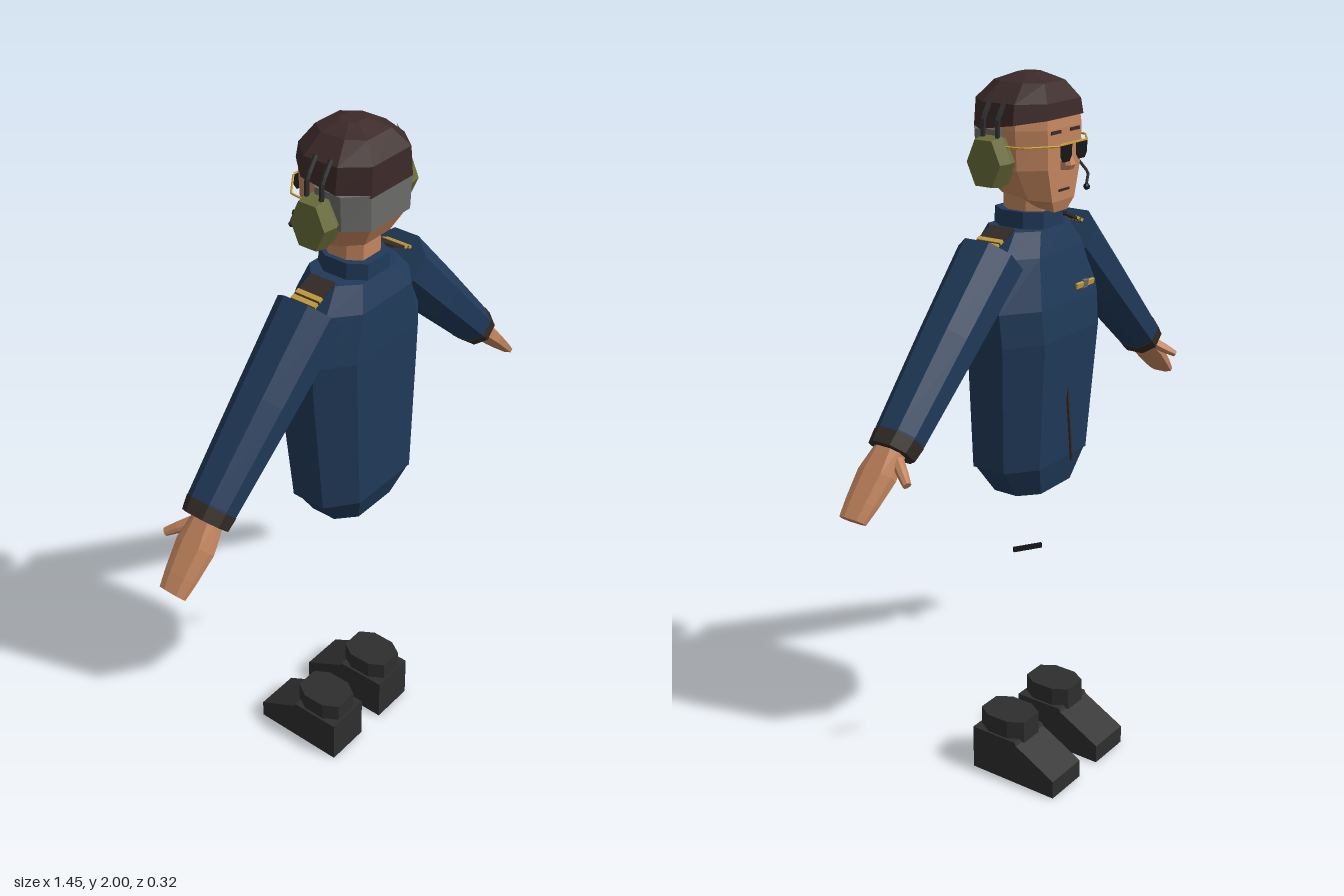
import * as THREE from 'three';

const mat = (name, color) => {
  const m = new THREE.MeshStandardMaterial({ color });
  m.name = name;
  return m;
};

// Closed eight-sided loft. Ring: [y, halfWidth, zFront, zBack, yBack = y], lowest ring first.
function loft(rings, a = 0.58, b = 0.45) {
  const unit = [[1, b], [1, -b], [a, -1], [-a, -1], [-1, -b], [-1, b], [-a, 1], [a, 1]];
  const pos = [], idx = [];
  for (const [y, hx, zf, zb, yb = y] of rings) {
    const c = (zf + zb) / 2, h = (zb - zf) / 2;
    for (const [ux, uz] of unit) pos.push(ux * hx, y + (yb - y) * (uz + 1) / 2, c + uz * h);
  }
  for (let r = 0; r < rings.length - 1; r++) {
    for (let i = 0; i < 8; i++) {
      const p = r * 8 + i, q = r * 8 + (i + 1) % 8;
      idx.push(p, q, q + 8, p, q + 8, p + 8);
    }
  }
  const top = (rings.length - 1) * 8;
  for (let i = 1; i < 7; i++) idx.push(0, i + 1, i, top, top + i, top + i + 1);
  const g = new THREE.BufferGeometry();
  g.setAttribute('position', new THREE.Float32BufferAttribute(pos, 3));
  g.setIndex(idx);
  return flat(g);
}

function flat(g) {
  const f = g.index ? g.toNonIndexed() : g;
  f.computeVertexNormals();
  return f;
}

// Straight-segmented wire through points
function wire(points, r) {
  const path = new THREE.CurvePath();
  const v = points.map(p => new THREE.Vector3(...p));
  for (let i = 1; i < v.length; i++) path.add(new THREE.LineCurve3(v[i - 1], v[i]));
  return flat(new THREE.TubeGeometry(path, (v.length - 1) * 4, r, 5));
}

export function createModel() {
  const model = new THREE.Group();
  const navy = mat('navy cloth', 0x203a59);
  const skin = mat('skin', 0xc4865f);
  const hair = mat('brown hair', 0x3c2a29);
  const gray = mat('gray hair', 0x6c6c6a);
  const olive = mat('olive plastic', 0x686b39);
  const dark = mat('black leather', 0x2e2e2e);
  const black = mat('black glass', 0x16161a);
  const gold = mat('gold', 0xc99f3c);
  const trim = mat('dark trim', 0x332b27);

  const add = (name, geo, material, parent = model, p = [0, 0, 0]) => {
    const m = new THREE.Mesh(geo, material);
    m.name = name;
    m.position.set(...p);
    parent.add(m);
    return m;
  };
  const box = (w, h, d) => new THREE.BoxGeometry(w, h, d);

  // Torso, hips and collar
  add('jacket', loft([
    [0.97, 0.19, -0.065, 0.16], [1.33, 0.215, -0.092, 0.16], [1.42, 0.22, -0.085, 0.16],
    [1.55, 0.17, -0.058, 0.155], [1.612, 0.118, -0.04, 0.13],
  ]), navy);
  add('hips', loft([[0.88, 0.12, -0.04, 0.125], [0.97, 0.182, -0.062, 0.158]]), navy);
  add('collar', loft([[1.6, 0.078, -0.032, 0.128], [1.655, 0.073, -0.03, 0.126]]), navy);

  // Jacket front: zip and winged badge on the chest
  const zip = add('zip', box(0.006, 0.36, 0.006), trim, model, [0, 1.15, -0.08]);
  zip.rotation.x = 0.075;
  const badge = new THREE.Group();
  badge.name = 'chestBadge';
  badge.position.set(-0.075, 1.45, -0.081);
  badge.rotation.x = -0.2;
  model.add(badge);
  add('badgeWings', box(0.08, 0.014, 0.008), gold, badge);
  add('badgeCentre', box(0.02, 0.022, 0.009), gray, badge);

  // Neck and head
  add('neck', loft([[1.63, 0.06, -0.02, 0.105], [1.73, 0.058, -0.02, 0.105]]), skin);
  add('head', loft([
    [1.655, 0.05, -0.053, 0.08, 1.7], [1.685, 0.085, -0.062, 0.12, 1.71],
    [1.77, 0.122, -0.064, 0.154], [1.87, 0.13, -0.066, 0.156], [1.915, 0.122, -0.062, 0.15],
  ]), skin);
  add('sideHair', loft([[1.79, 0.132, -0.01, 0.16, 1.77], [1.875, 0.138, -0.01, 0.162, 1.865]]), gray);
  add('topHair', loft([
    [1.895, 0.138, -0.068, 0.163, 1.858], [1.935, 0.128, -0.064, 0.16],
    [1.98, 0.078, -0.035, 0.122], [2.0, 0.03, 0.015, 0.07],
  ]), hair);
  add('nose', loft([[1.765, 0.017, -0.085, -0.05], [1.778, 0.017, -0.093, -0.05], [1.83, 0.009, -0.07, -0.05]]), skin);
  add('mouth', box(0.045, 0.006, 0.008), trim, model, [0, 1.712, -0.061]);

  // Sunglasses bridge and microphone
  add('glassesBridge', wire([[-0.06, 1.835, -0.094], [0.06, 1.835, -0.094]], 0.003), gold);
  add('microphoneBoom', wire([[-0.155, 1.77, 0.01], [-0.125, 1.735, -0.055], [-0.04, 1.718, -0.105]], 0.004), dark);
  add('microphone', flat(new THREE.IcosahedronGeometry(0.01, 0)), black, model, [-0.04, 1.718, -0.107]);

  for (const s of [1, -1]) {
    const side = s > 0 ? 'left' : 'right';

    // Face details
    add(side + 'Eyebrow', box(0.04, 0.008, 0.008), hair, model, [s * 0.042, 1.862, -0.066]);
    add(side + 'Lens', loft([
      [-0.022, 0.014, -0.002, 0.002], [-0.008, 0.024, -0.002, 0.002], [0.02, 0.025, -0.002, 0.002],
    ]), black, model, [s * 0.034, 1.813, -0.094]);
    add(side + 'GlassesTemple', wire([
      [s * 0.06, 1.832, -0.094], [s * 0.138, 1.832, -0.035], [s * 0.142, 1.832, 0.02],
    ], 0.003), gold);

    // Headset cup with its two band wires
    const cup = (name, r1, r2, w, x) => {
      const g = new THREE.CylinderGeometry(r1, r2, w, 6);
      g.rotateZ(-s * Math.PI / 2);
      g.scale(1, 1.15, 0.9);
      add(side + name, flat(g), olive, model, [s * x, 1.793, 0.053]);
    };
    cup('EarCup', 0.058, 0.065, 0.04, 0.165);
    cup('EarCushion', 0.06, 0.06, 0.03, 0.132);
    for (const z of [0.03, 0.075]) {
      add(side + 'Headband', wire([
        [s * 0.158, 1.84, z], [s * 0.154, 1.9, z], [s * 0.122, 1.945, z],
      ], 0.007), dark);
    }

    // Shoulder board with gold stripes
    const board = new THREE.Group();
    board.name = side + 'Epaulet';
    board.position.set(s * 0.158, 1.602, 0.045);
    board.rotation.z = -s * 0.42;
    model.add(board);
    add('epauletBoard', box(0.09, 0.006, 0.075), trim, board);
    for (const x of [0.015, 0.034]) add('epauletStripe', box(0.013, 0.008, 0.076), gold, board, [s * x, 0.001, 0]);

    // Arm hanging outwards: sleeve, cuff, hand and thumb along local -y
    const arm = new THREE.Group();
    arm.name = side + 'Arm';
    arm.position.set(s * 0.168, 1.552, 0.045);
    arm.rotation.z = s * 0.794;
    model.add(arm);
    add('sleeve', loft([
      [-0.571, 0.05, -0.058, 0.058], [-0.53, 0.054, -0.065, 0.062],
      [-0.25, 0.068, -0.075, 0.076], [0, 0.078, -0.083, 0.086],
    ], 0.45, 0.45), navy, arm);
    add('cuff', loft([[-0.574, 0.052, -0.06, 0.06], [-0.535, 0.055, -0.066, 0.063]], 0.45, 0.45), trim, arm);
    add('hand', loft([
      [-0.768, 0.012, -0.028, 0.05], [-0.72, 0.017, -0.036, 0.056],
      [-0.64, 0.023, -0.045, 0.062], [-0.56, 0.029, -0.032, 0.045],
    ], 0.5, 0.5), skin, arm);
    const thumb = add('thumb', loft([
      [0, 0.008, -0.01, 0.01], [0.04, 0.013, -0.013, 0.013], [0.08, 0.014, -0.015, 0.015],
    ]), skin, arm, [0, -0.645, -0.09]);
    thumb.rotation.x = 0.85;

    // Boot: sloped foot with ankle shaft
    const profile = new THREE.Shape([
      [-0.125, 0], [0.16, 0], [0.16, 0.055], [0.03, 0.125], [0.025, 0.135], [-0.125, 0.135],
    ].map(p => new THREE.Vector2(...p)));
    const foot = new THREE.ExtrudeGeometry(profile, { depth: 0.136, bevelEnabled: false });
    foot.translate(0, 0, -0.068);
    foot.rotateY(Math.PI / 2);
    add(side + 'Boot', flat(foot), dark, model, [s * 0.112, 0, 0]);
    add(side + 'BootShaft', loft([[0.12, 0.061, -0.036, 0.117], [0.19, 0.061, -0.036, 0.117]]), dark,
      model, [s * 0.112, 0, 0]);
  }

  // Small pocket flap on one thigh
  const flap = add('pocketFlap', box(0.082, 0.014, 0.006), black, model, [0.135, 0.745, -0.042]);
  flap.rotation.y = -0.57;

  return model;
}
